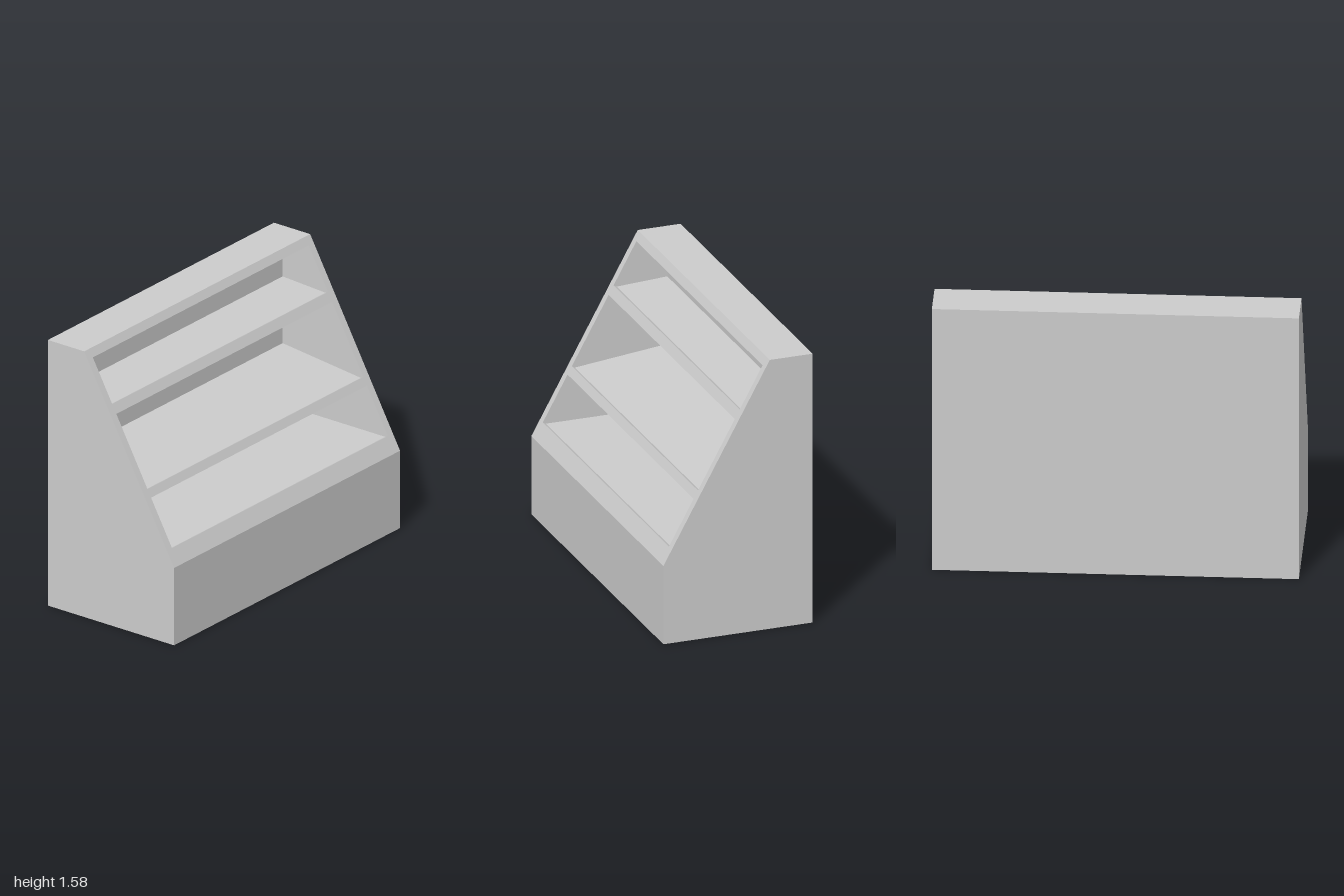
import * as THREE from 'three';

const HALF = 1, WALL = 0.045;
const SIDE_FRONT = 0.435, BACK_INNER = -0.34;

// z of the slanted front at height y
const slantZ = (y) => SIDE_FRONT - (y - 0.46) * (0.62 / 1.12);

// point on the slanted front, and the same point set in square to it
const face = (y) => [slantZ(y), y];
const inset = (y) => [slantZ(y) - 0.0175, y - 0.01];

export function createModel() {
  const group = new THREE.Group();
  const material = new THREE.MeshStandardMaterial({ color: 0xcccccc, flatShading: true });

  // extrudes a (z, y) profile along x, from x0 to x1
  function addProfile(name, points, x0, x1) {
    const shape = new THREE.Shape(points.map(([z, y]) => new THREE.Vector2(z, y)));
    const geometry = new THREE.ExtrudeGeometry(shape, { depth: x1 - x0, bevelEnabled: false });
    geometry.rotateY(-Math.PI / 2);
    geometry.translate(x1, 0, 0);
    const mesh = new THREE.Mesh(geometry, material);
    mesh.name = name;
    group.add(mesh);
  }

  const inner = HALF - WALL;

  // side walls
  const sideProfile = [[-0.435, 0], [SIDE_FRONT, 0], [SIDE_FRONT, 0.46], [-0.185, 1.58], [-0.435, 1.58]];
  addProfile('leftSide', sideProfile, inner, HALF);
  addProfile('rightSide', sideProfile, -HALF, -inner);

  // base with bottom tray, back wall and top in one C-shaped section
  addProfile('carcass', [
    [-0.435, 0], [SIDE_FRONT, 0], [SIDE_FRONT, 0.46], face(0.55), inset(0.55),
    [BACK_INNER, 0.54], [BACK_INNER, 1.535], face(1.535), [-0.185, 1.58], [-0.435, 1.58],
  ], -inner, inner);

  // shelves rise towards the back, with a slanted front edge
  const shelves = [
    ['lowerShelf', 0.81, 0.855, 0.905],
    ['upperShelf', 1.243, 1.295, 1.302],
  ];
  for (const [name, bottom, top, backTop] of shelves) {
    addProfile(name, [
      [BACK_INNER, bottom - 0.01], inset(bottom), face(bottom),
      face(top), inset(top), [BACK_INNER, backTop],
    ], -inner, inner);
  }

  return group;
}
